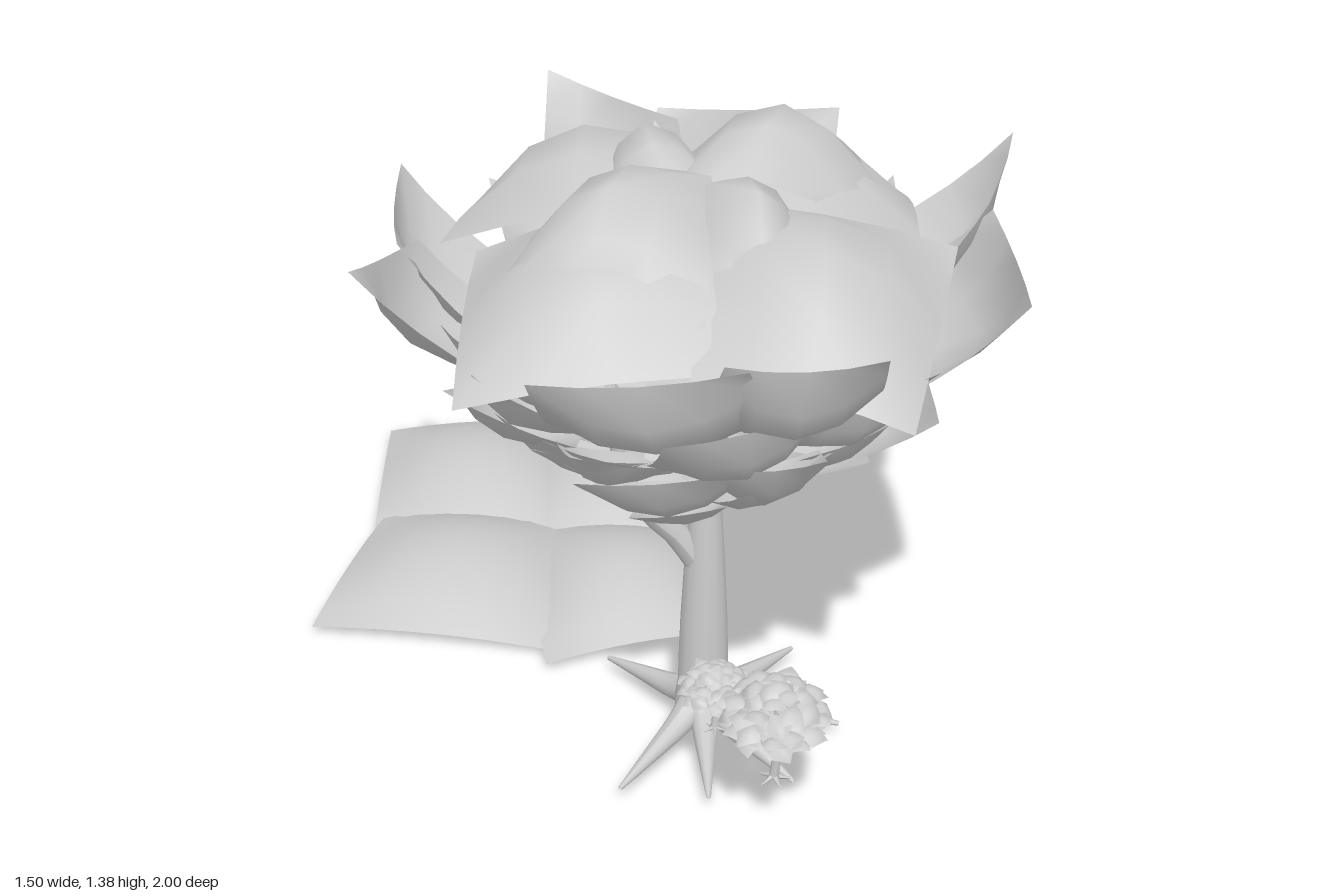
import * as THREE from 'three';

const material = new THREE.MeshStandardMaterial({ color: 0xcccccc, side: THREE.DoubleSide });
const V = (p) => new THREE.Vector3(...p);

function add(parent, geometry, name) {
  const mesh = new THREE.Mesh(geometry, material);
  mesh.name = name;
  parent.add(mesh);
  return mesh;
}

// Four-cornered sheet that swells towards "out"
function domedSheet(corners, bulge, out, segments = 4) {
  const [a, b, c, d] = corners.map(V);
  const n = c.clone().sub(a).cross(d.clone().sub(b)).normalize();
  if (n.dot(V(out)) < 0) n.negate();
  const geometry = new THREE.PlaneGeometry(1, 1, segments, segments);
  const pos = geometry.attributes.position;
  for (let i = 0; i < pos.count; i++) {
    const u = pos.getX(i) + 0.5, v = pos.getY(i) + 0.5;
    const p = a.clone().lerp(b, u).lerp(d.clone().lerp(c, u), v);
    const fu = 1 - (2 * u - 1) ** 2, fv = 1 - (2 * v - 1) ** 2;
    p.addScaledVector(n, bulge * (0.7 * fu * fv + 0.15 * (fu + fv)));
    pos.setXYZ(i, p.x, p.y, p.z);
  }
  geometry.computeVertexNormals();
  return geometry;
}

// Tube along a curve whose radius runs from r0 to r1
function taperedTube(points, r0, r1, rings = 8, sides = 10) {
  const curve = new THREE.CatmullRomCurve3(points.map(V));
  const geometry = new THREE.TubeGeometry(curve, rings, 1, sides);
  const pos = geometry.attributes.position, p = new THREE.Vector3();
  for (let i = 0; i < pos.count; i++) {
    const t = Math.floor(i / (sides + 1)) / rings;
    const c = curve.getPointAt(t);
    p.fromBufferAttribute(pos, i).sub(c).multiplyScalar(r0 + (r1 - r0) * t).add(c);
    pos.setXYZ(i, p.x, p.y, p.z);
  }
  geometry.computeVertexNormals();
  return geometry;
}

// Four overlapping mounds
function createHills() {
  const hills = new THREE.Group();
  hills.name = 'hills';
  const mounds = [
    [[-0.59, 0.02, -0.94], [-0.13, 0.01, -0.97], [-0.12, 0.01, -0.37], [-0.62, 0.01, -0.46]],
    [[-0.2, 0.02, -1], [0.31, 0.02, -0.82], [0.16, 0.01, -0.35], [-0.3, 0.01, -0.4]],
    [[-0.59, 0.02, -0.54], [-0.12, 0.01, -0.47], [-0.16, 0.01, 0.06], [-0.75, 0.02, -0.07]],
    [[-0.28, 0, -0.48], [0.18, 0.01, -0.43], [0.18, 0.01, 0], [-0.22, 0.02, 0.11]],
  ];
  for (const corners of mounds) add(hills, domedSheet(corners, 0.105, [0, 1, 0], 8), 'hill');
  return hills;
}

// Trunk with flared foot, forked branches and spreading roots
function createTrunk() {
  const trunk = new THREE.Group();
  trunk.name = 'trunk';
  const profile = [[0.06, 0.05], [0.06, 0.1], [0.054, 0.14], [0.053, 0.2], [0.05, 0.3],
    [0.044, 0.42], [0.036, 0.55], [0.028, 0.64]].map((p) => new THREE.Vector2(...p));
  add(trunk, new THREE.LatheGeometry(profile, 14), 'stem').position.set(0.11, 0, 0.35);
  const branches = [
    [[0.1, 0.44, 0.35], [0.05, 0.52, 0.36], [-0.01, 0.59, 0.38], [-0.055, 0.68, 0.41], [-0.08, 0.8, 0.43]],
    [[0.11, 0.56, 0.35], [0.11, 0.64, 0.325], [0.115, 0.72, 0.27], [0.13, 0.82, 0.2]],
    [[0.11, 0.56, 0.35], [0.11, 0.64, 0.38], [0.115, 0.72, 0.44], [0.13, 0.82, 0.5]],
  ];
  for (const path of branches) add(trunk, taperedTube(path, 0.03, 0.014), 'branch');
  const rootTips = [[0.4, 0.39], [0.28, 0.58], [0.1, 0.62], [-0.08, 0.58], [-0.08, 0.12], [0.33, 0.11]];
  for (const [x, z] of rootTips) {
    const at = (t, y) => [0.11 + (x - 0.11) * t, y, 0.35 + (z - 0.35) * t];
    add(trunk, taperedTube([at(0.04, 0.11), at(0.25, 0.08), at(0.6, 0.06), at(1, 0.04)], 0.037, 0.005), 'root');
  }
  return trunk;
}

// Bowl of cupped leaf sheets repeated every quarter turn, domes repeated every half turn
function createCrown() {
  const crown = new THREE.Group();
  crown.name = 'crown';
  crown.position.set(0.09, 0, 0.34);
  const tiers = [
    { scale: 1, y: 0, drop: 0.22, inner: 0.6, turn: 0 },
    { scale: 0.84, y: -0.15, drop: 0.17, inner: 0.55, turn: 0.35 },
    { scale: 0.76, y: -0.29, drop: 0.13, inner: 0.5, turn: 0 },
    { scale: 0.65, y: -0.34, drop: 0.11, inner: 0.42, turn: 0.6 },
    { scale: 0.54, y: -0.44, drop: 0.06, inner: 0.35, turn: 0.1 },
    { scale: 0.32, y: -0.49, drop: 0.02, inner: 0, turn: 0.5 },
  ];
  const rims = [
    [[-0.35, 1.2, 0.58], [0.04, 1.21, 0.58]],
    [[0, 1.2, 0.54], [0.27, 1.27, 0.66]],
  ];
  for (let k = 0; k < 4; k++) {
    const quarter = new THREE.Group();
    quarter.name = 'bowlQuarter';
    quarter.rotation.y = k * Math.PI / 2;
    crown.add(quarter);
    for (const { scale, y, drop, inner, turn } of tiers) {
      for (const rim of rims) {
        const [p, q] = rim.map((r) => [r[0] * scale, r[1] + y, r[2] * scale]);
        const lower = (r, shift) => [r[0] * (0.35 + 0.65 * inner) + shift, r[1] - drop, r[2] * inner];
        const corners = [p, q, lower(q, 0.1 * scale), lower(p, -0.04 * scale)];
        add(quarter, domedSheet(corners, 0.1 * scale, [0, -0.7, 1]), 'bowlLeaf').rotation.y = turn;
      }
    }
  }
  const domes = [
    ['shoulderDome', 0.15, [[-0.03, 1.26, -0.02], [0.5, 1.17, 0.04], [0.34, 1.06, 0.56], [-0.05, 1.13, 0.46]]],
    ['shoulderDome', 0.15, [[-0.48, 1.06, 0.42], [-0.43, 1.15, -0.04], [0.04, 1.27, -0.03], [0.1, 1.13, 0.45]]],
    ['largeTopDome', 0.165, [[-0.44, 1.14, 0.24], [-0.22, 1.28, -0.05], [0.06, 1.3, -0.03], [-0.02, 1.19, 0.38]]],
    ['smallTopDome', 0.15, [[-0.06, 1.28, -0.04], [0.18, 1.24, -0.02], [0.19, 1.16, 0.25], [-0.02, 1.18, 0.32]]],
  ];
  for (const half of [0, Math.PI]) {
    for (const [name, bulge, corners] of domes) add(crown, domedSheet(corners, bulge, [0, 1, 0]), name).rotation.y = half;
  }
  return crown;
}

// Small umbrella-shaped tree, one unit tall
function createSmallTree(x, y, z, height, turn) {
  const tree = new THREE.Group();
  tree.name = 'smallTree';
  add(tree, taperedTube([[0, 0, 0], [0.02, 0.25, 0], [0, 0.5, 0.02], [0.02, 0.8, 0]], 0.045, 0.02, 6, 7), 'smallTrunk');
  for (let i = 0; i < 5; i++) {
    const a = i * Math.PI * 0.4, c = Math.cos(a), s = Math.sin(a);
    add(tree, taperedTube([[0, 0.3, 0], [0.13 * c, 0.48, 0.13 * s], [0.28 * c, 0.62, 0.28 * s]], 0.025, 0.012, 4, 6), 'smallBranch');
    add(tree, taperedTube([[0, 0.05, 0], [0.06 * c, 0.02, 0.06 * s], [0.14 * c, 0.005, 0.14 * s]], 0.03, 0.006, 4, 6), 'smallRoot');
  }
  const count = 60;
  for (let i = 0; i < count; i++) {
    const h = 1 - 1.7 * (i + 0.5) / count, a = i * 2.39996;
    const r = Math.sqrt(1 - h * h) * (i % 3 ? 0.38 : 0.28);
    const leaf = add(tree, domedSheet([[-0.1, 0, -0.09], [0.1, 0, -0.09], [0.09, 0, 0.1], [-0.09, 0, 0.1]], 0.06, [0, 1, 0], 3), 'smallLeaf');
    leaf.position.set(r * Math.cos(a), 0.68 + h * 0.25, r * Math.sin(a));
    const lean = 0.3 + 0.5 * Math.sin(i * 1.7);
    leaf.quaternion.setFromUnitVectors(new THREE.Vector3(0, 1, 0),
      new THREE.Vector3(lean * Math.cos(a), 1, lean * Math.sin(a)).normalize());
    leaf.rotateY(i * 1.3);
  }
  tree.position.set(x, y, z);
  tree.rotation.y = turn;
  tree.scale.setScalar(height);
  return tree;
}

export function createModel() {
  const model = new THREE.Group();
  model.name = 'treeScene';
  model.add(createHills(), createTrunk(), createCrown(),
    createSmallTree(0.22, 0.165, 0.725, 0.24, 0), createSmallTree(0.115, 0.168, 0.56, 0.16, 1));
  return model;
}
